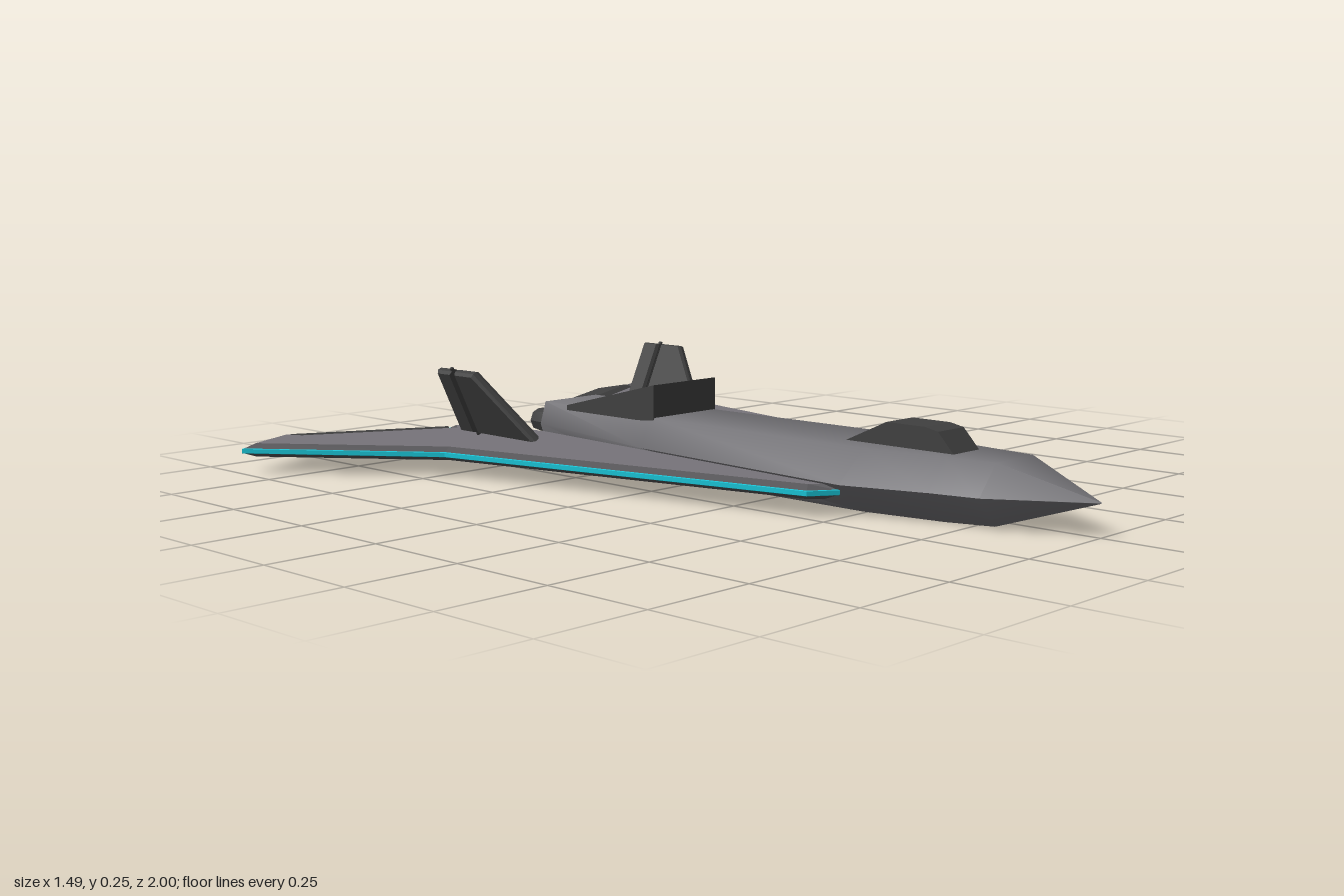
import * as THREE from 'three';
import { toCreasedNormals } from 'three/addons/utils/BufferGeometryUtils.js';

const paint = (color, side = THREE.FrontSide) => new THREE.MeshStandardMaterial({ color, side });
const HULL = paint(0x757478);
const PANEL = paint(0x77747a);
const RIM = paint(0x555457);
const DARK = paint(0x404040);
const TRIM = paint(0x18c4d6);
const NOZZLE = paint(0x404040, THREE.DoubleSide);

function add(parent, name, geometry, material) {
  const mesh = new THREE.Mesh(geometry, material);
  mesh.name = name;
  parent.add(mesh);
  return mesh;
}

const shapeOf = (points) => new THREE.Shape(points.map(([a, b]) => new THREE.Vector2(a, b)));

// Side profile in (z, y), extruded across x and centred; bevel chamfers both flanks
function prism(profile, width, bevel = 0, inset = 0) {
  const depth = width - 2 * bevel;
  const g = new THREE.ExtrudeGeometry(shapeOf(profile), {
    depth, bevelEnabled: bevel > 0, bevelThickness: bevel, bevelSize: inset, bevelOffset: -inset, bevelSegments: 1,
  });
  return g.translate(0, 0, -depth / 2).rotateY(-Math.PI / 2);
}

// Flat plate from an outline in (x, z), centred on y = 0
function plate(outline, depth, bevelThickness, bevelSize, bevelOffset) {
  const g = new THREE.ExtrudeGeometry(shapeOf(outline), {
    depth, bevelEnabled: true, bevelThickness, bevelSize, bevelOffset, bevelSegments: 1,
  });
  return g.translate(0, 0, -depth / 2).rotateX(Math.PI / 2);
}

// Hexagonal body lofted from nose to tail through [z, half width, deck half width, bottom, top]
function hullGeometry(stations) {
  const positions = [], index = [];
  for (const [z, w, t, low, high] of stations) {
    const mid = (low + high) / 2;
    for (const [x, y] of [[w, mid], [t, high], [-t, high], [-w, mid], [-t, low], [t, low]]) positions.push(x, y, z);
  }
  for (let s = 0; s < stations.length - 1; s++) {
    for (let i = 0; i < 6; i++) {
      const a = s * 6 + i, b = s * 6 + (i + 1) % 6;
      index.push(a, a + 6, b, b, a + 6, b + 6);
    }
  }
  // Flat tail cap
  const last = (stations.length - 1) * 6;
  for (let i = 1; i < 5; i++) index.push(last, last + i + 1, last + i);
  const g = new THREE.BufferGeometry();
  g.setAttribute('position', new THREE.Float32BufferAttribute(positions, 3));
  g.setIndex(index);
  return toCreasedNormals(g, 1.1);
}

function createWing(side) {
  const wing = new THREE.Group();
  wing.name = side > 0 ? 'leftWing' : 'rightWing';
  wing.position.y = side > 0 ? 0.069 : 0.052;
  const outline = [
    [0.19, 0.49], [0.245, 0.45], [0.45, -0.48], [0.74, -0.87], [0.575, -0.953],
    [0.55, -0.9], [0.235, -0.735], [0.2, -0.775], [0.105, -0.57], [0.1, -0.5],
  ].map(([x, z]) => [side * x, z]);
  add(wing, 'wingPanel', plate(outline, 0.01, 0.011, 0.022, -0.022), [PANEL, RIM]);
  add(wing, 'edgeTrim', plate(outline, 0.01, 0.001, 0.002, 0), TRIM);

  // Wedge-shaped flap on the trailing edge, with its hinge rod
  const length = side > 0 ? 0.36 : 0.385;
  const flap = new THREE.Group();
  flap.name = 'flap';
  flap.position.set(side * 0.382, -0.002, -0.866);
  flap.rotation.y = side * 0.48;
  const wedge = [[0.053, -0.01], [0.053, 0.01], [0.033, 0.017], [-0.051, 0.003], [-0.051, -0.003], [0.033, -0.017]];
  add(flap, 'flapPanel', prism(wedge, length), DARK);
  const rod = add(flap, 'flapHinge', new THREE.CylinderGeometry(0.005, 0.005, length + 0.01, 8), DARK);
  rod.rotation.z = Math.PI / 2;
  rod.position.z = 0.056;
  wing.add(flap);
  return wing;
}

// Outward-leaning fin with a separate rudder on a post
function createTailFin(side) {
  const fin = new THREE.Group();
  fin.name = side > 0 ? 'leftTailFin' : 'rightTailFin';
  fin.position.set(side * 0.273, side > 0 ? 0.08 : 0.072, 0);
  fin.rotation.z = -side * 0.44;
  add(fin, 'finPanel', prism([[-0.355, 0.008], [-0.49, 0.178], [-0.558, 0.178], [-0.558, 0.008]], 0.026, 0.008, 0.005), DARK);
  add(fin, 'rudder', prism([[-0.568, 0.008], [-0.568, 0.178], [-0.622, 0.178], [-0.622, 0.008]], 0.026, 0.008, 0.005), DARK);
  const post = add(fin, 'rudderPost', new THREE.CylinderGeometry(0.005, 0.005, 0.186, 8), DARK);
  post.position.set(0, 0.092, -0.572);
  return fin;
}

export function createModel() {
  const model = new THREE.Group();
  model.name = 'deltaWingJet';

  // Fuselage from nose point to tail
  add(model, 'fuselage', hullGeometry([
    [1, 0.001, 0.0005, 0.069, 0.071],
    [0.795, 0.122, 0.065, 0.004, 0.135],
    [0.68, 0.135, 0.08, 0, 0.135],
    [0.49, 0.19, 0.108, 0, 0.135],
    [-0.15, 0.138, 0.1, 0, 0.135],
    [-0.54, 0.102, 0.085, 0.028, 0.135],
  ]), HULL);

  // Cockpit cover and dorsal intake
  add(model, 'canopy', prism([[0.68, 0.13], [0.635, 0.178], [0.6, 0.185], [0.5, 0.185], [0.38, 0.13]], 0.09), DARK);
  add(model, 'dorsalIntake', prism([[-0.14, 0.125], [-0.14, 0.212], [-0.44, 0.137], [-0.44, 0.125]], 0.208), DARK);

  for (const side of [1, -1]) {
    model.add(createWing(side), createTailFin(side));

    // Hollow exhaust nozzle
    const profile = [[0, 0.01], [0.022, 0.012], [0.024, 0.073], [0.028, 0.073], [0.034, 0.03], [0.03, 0]];
    const geometry = new THREE.LatheGeometry(profile.map(([r, y]) => new THREE.Vector2(r, y)), 8);
    const nozzle = add(model, 'exhaustNozzle', toCreasedNormals(geometry, 0.5), NOZZLE);
    nozzle.rotation.x = -Math.PI / 2;
    nozzle.position.set(side * 0.048, 0.08, -0.535);
  }
  return model;
}
